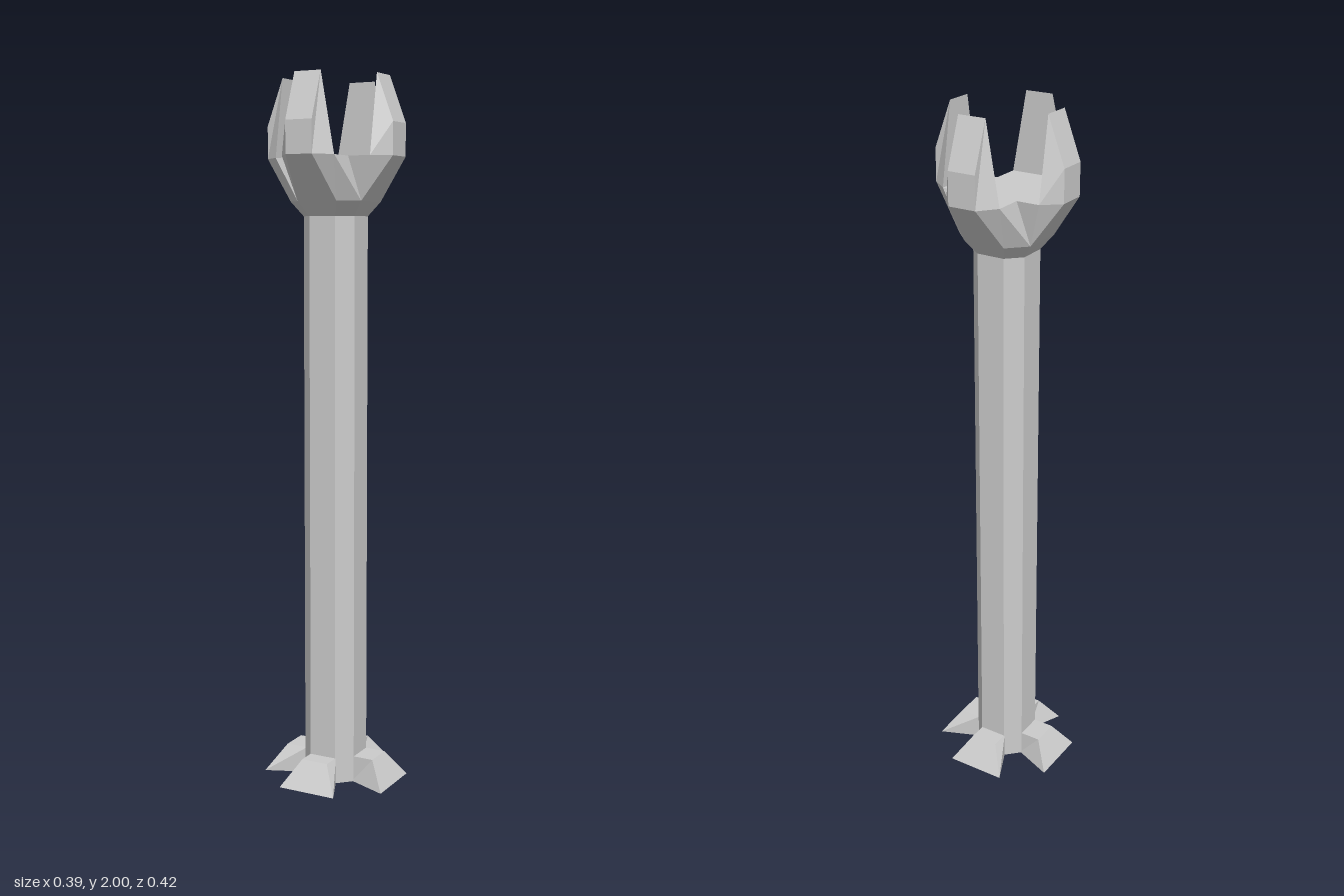
import * as THREE from 'three';

const grey = new THREE.MeshStandardMaterial({ color: 0xcccccc, flatShading: true });

// Flat-shaded mesh from convex polygons, corners counter-clockwise from outside
function polyMesh(name, faces) {
  const pos = [];
  for (const f of faces)
    for (let i = 1; i < f.length - 1; i++) pos.push(...f[0], ...f[i], ...f[i + 1]);
  const geo = new THREE.BufferGeometry();
  geo.setAttribute('position', new THREE.Float32BufferAttribute(pos, 3));
  geo.computeVertexNormals();
  const mesh = new THREE.Mesh(geo, grey);
  mesh.name = name;
  return mesh;
}

const COLLAR = 1.62, CUP = 1.66, RIM = 1.78, BEND = 1.87, TIP = 2;

// Claw prong pointing up, outside on +z
function prong(inner, outer) {
  const I = s => [s * 0.08, RIM, inner], T = s => [s * 0.04, TIP, inner];
  const O = s => [s * 0.04, RIM, outer], M = s => [s * 0.04, BEND, outer];
  return polyMesh('prong', [
    [O(-1), O(1), M(1), M(-1)],
    [M(-1), M(1), T(1), T(-1)],
    [O(1), I(1), T(1), M(1)],
    [M(-1), T(-1), I(-1), O(-1)],
    [I(1), I(-1), T(-1), T(1)],
  ]);
}

// Quarter of the cup: one arm of the cross, its collar and the notch beside it
function cupQuarter(inner, outer, nextInner) {
  const O = s => [s * 0.04, RIM, outer], I = s => [s * 0.08, RIM, inner];
  const Q = s => [s * 0.06, CUP, 0.11], S = s => [s * 0.04, COLLAR, 0.08];
  const P = [0.11, CUP, 0.06], N = s => [s * 0.08, RIM, 0.08];
  const A = [nextInner, RIM, 0.08];
  return polyMesh('cupQuarter', [
    [O(-1), Q(-1), Q(1), O(1)],
    [O(1), Q(1), I(1)],
    [I(-1), Q(-1), O(-1)],
    // notch between two arms
    [I(1), Q(1), P],
    [I(1), P, N(1)],
    [N(1), P, A],
    // collar
    [Q(-1), S(-1), S(1), Q(1)],
    [Q(1), S(1), [0.08, COLLAR, 0.04], P],
    // floor
    [N(-1), I(-1), I(1), N(1)],
    [[0, RIM, 0], N(-1), N(1)],
  ]);
}

// Splayed foot on +z
function foot(reach) {
  const a = s => [s * 0.04, 0, 0.075], b = s => [s * 0.087, 0, reach];
  const c = s => [s * 0.04, 0.075, 0.075], d = s => [s * 0.04, 0.075, reach - 0.05];
  return polyMesh('foot', [
    [b(-1), b(1), d(1), d(-1)],
    [c(-1), d(-1), d(1), c(1)],
    [b(1), a(1), c(1), d(1)],
    [d(-1), c(-1), a(-1), b(-1)],
    [a(-1), a(1), b(1), b(-1)],
  ]);
}

export function createModel() {
  const group = new THREE.Group();
  group.name = 'clawPost';

  // Eight-sided shaft: a square with cut corners
  const outline = [[0.04, 0.08], [0.08, 0.04], [0.08, -0.04], [0.04, -0.08],
    [-0.04, -0.08], [-0.08, -0.04], [-0.08, 0.04], [-0.04, 0.08]];
  const shape = new THREE.Shape(outline.map(p => new THREE.Vector2(...p)));
  const shaftGeo = new THREE.ExtrudeGeometry(shape, { depth: COLLAR, bevelEnabled: false });
  shaftGeo.rotateX(-Math.PI / 2);
  const shaft = new THREE.Mesh(shaftGeo, grey);
  shaft.name = 'shaft';
  group.add(shaft);

  // Four sides; the head is slightly deeper along z than along x
  for (let k = 0; k < 4; k++) {
    const alongX = k % 2 === 1;
    const inner = alongX ? 0.146 : 0.16, outer = alongX ? 0.195 : 0.21;
    const side = new THREE.Group();
    side.name = ['front', 'left', 'back', 'right'][k] + 'Side';
    side.add(
      foot(alongX ? 0.19 : 0.18),
      cupQuarter(inner, outer, alongX ? 0.16 : 0.146),
      prong(inner, outer),
    );
    side.rotation.y = k * Math.PI / 2;
    group.add(side);
  }
  return group;
}
